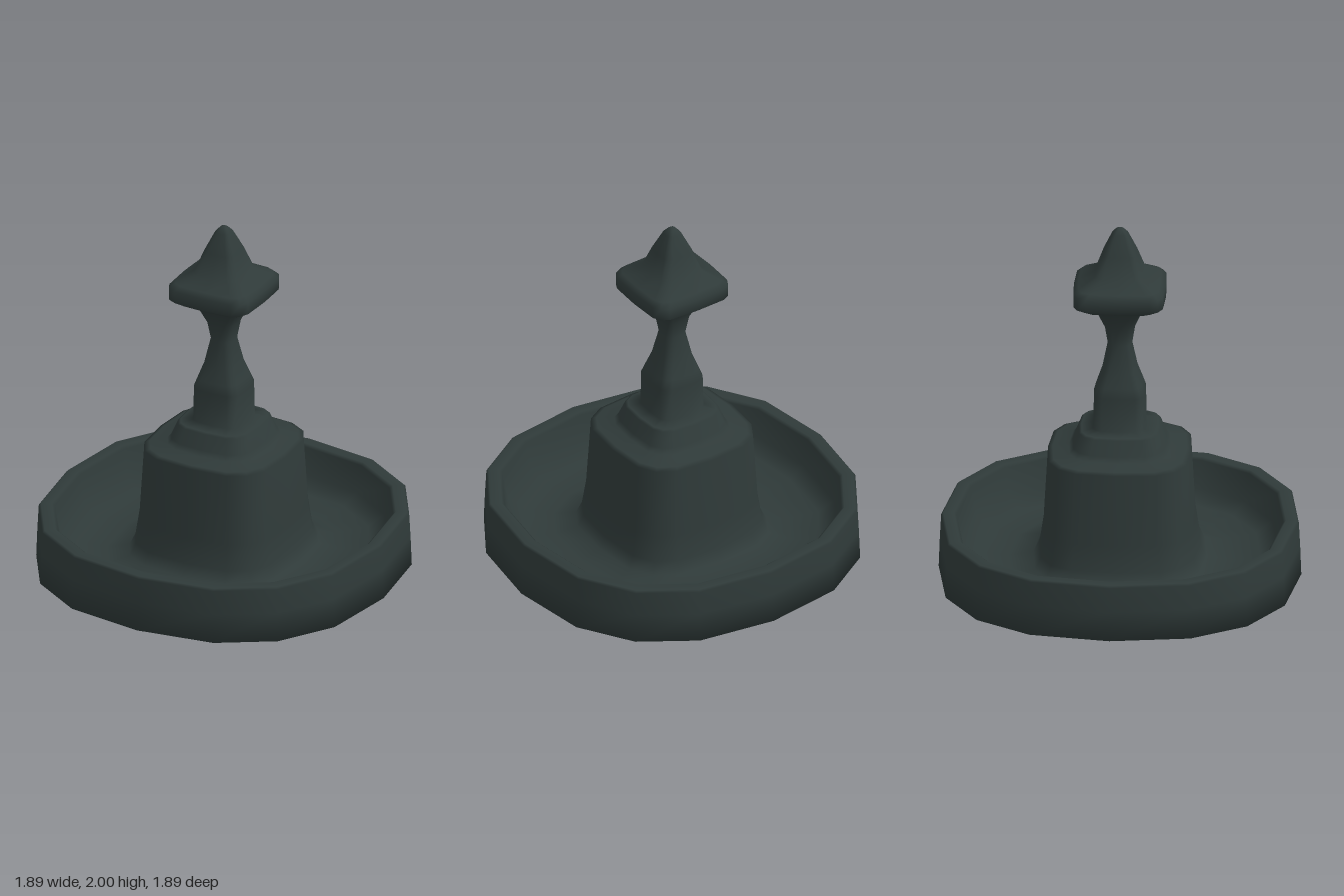
import * as THREE from 'three';
import { mergeVertices } from 'three/addons/utils/BufferGeometryUtils.js';

const SIDES = 16;

// Stacks rounded-square rings [half width, height, roundness]: 1 is round, towards 0 is square.
function loft(rings) {
  const positions = [], index = [];
  const bend = (v, e) => (Math.abs(v) < 1e-6 ? 0 : Math.sign(v) * Math.abs(v) ** e);
  for (const [half, y, e] of rings) {
    for (let j = 0; j < SIDES; j++) {
      const t = (j / SIDES) * Math.PI * 2;
      positions.push(half * bend(Math.cos(t), e), y, half * bend(Math.sin(t), e));
    }
  }
  for (let i = 0; i < rings.length - 1; i++) {
    for (let j = 0; j < SIDES; j++) {
      const k = (j + 1) % SIDES;
      const a = i * SIDES + j, b = i * SIDES + k;
      const c = a + SIDES, d = b + SIDES;
      index.push(a, c, b, b, c, d);
    }
  }
  let geometry = new THREE.BufferGeometry();
  geometry.setAttribute('position', new THREE.Float32BufferAttribute(positions, 3));
  geometry.setIndex(index);
  geometry = mergeVertices(geometry, 1e-4);
  geometry.computeVertexNormals();
  return geometry;
}

export function createModel() {
  const group = new THREE.Group();
  const darkMetal = new THREE.MeshStandardMaterial({ color: 0x2f3a39 });
  darkMetal.name = 'darkMetal';

  // Each part carries on from the last ring of the part before it
  const parts = {
    // Shallow pointed underside and outer wall
    basinShell: [
      [0, 0, 0.85], [0.72, 0.038, 0.85], [0.944, 0.06, 0.845],
      [0.938, 0.22, 0.845], [0.931, 0.352, 0.845],
    ],
    basinRim: [[0.92, 0.363, 0.845], [0.865, 0.363, 0.845], [0.85, 0.35, 0.845]],
    // Inner wall and floor sweeping up into the pedestal
    basinBowl: [
      [0.825, 0.2, 0.85], [0.74, 0.145, 0.84], [0.57, 0.13, 0.75], [0.45, 0.155, 0.65],
    ],
    pedestal: [[0.418, 0.22, 0.62], [0.397, 0.36, 0.61], [0.375, 0.748, 0.61]],
    steppedCollar: [
      [0.35, 0.758, 0.61], [0.265, 0.773, 0.6], [0.245, 0.8, 0.58],
      [0.213, 0.878, 0.56], [0.2, 0.886, 0.55], [0.139, 0.897, 0.47],
    ],
    column: [
      [0.135, 1.08, 0.46], [0.119, 1.13, 0.5], [0.092, 1.21, 0.58],
      [0.064, 1.35, 0.75], [0.08, 1.45, 0.65], [0.125, 1.555, 0.5],
    ],
    finialKnob: [
      [0.197, 1.58, 0.42], [0.24, 1.61, 0.38], [0.24, 1.675, 0.38],
      [0.215, 1.7, 0.4], [0.13, 1.75, 0.45],
    ],
    finialSpire: [
      [0.09, 1.86, 0.5], [0.042, 1.965, 0.6], [0.02, 1.99, 0.8], [0, 2, 1],
    ],
  };

  // One smooth surface, shared out by bands so the shading flows across the joins
  const body = loft(Object.values(parts).flat());
  const bandSize = SIDES * 6;
  let start = 0;
  for (const [name, rings] of Object.entries(parts)) {
    const bands = start === 0 ? rings.length - 1 : rings.length;
    const end = start + bands * bandSize;
    const geometry = new THREE.BufferGeometry();
    geometry.setAttribute('position', body.attributes.position);
    geometry.setAttribute('normal', body.attributes.normal);
    geometry.setIndex(Array.from(body.index.array.slice(start, end)));
    const mesh = new THREE.Mesh(geometry, darkMetal);
    mesh.name = name;
    group.add(mesh);
    start = end;
  }
  return group;
}
